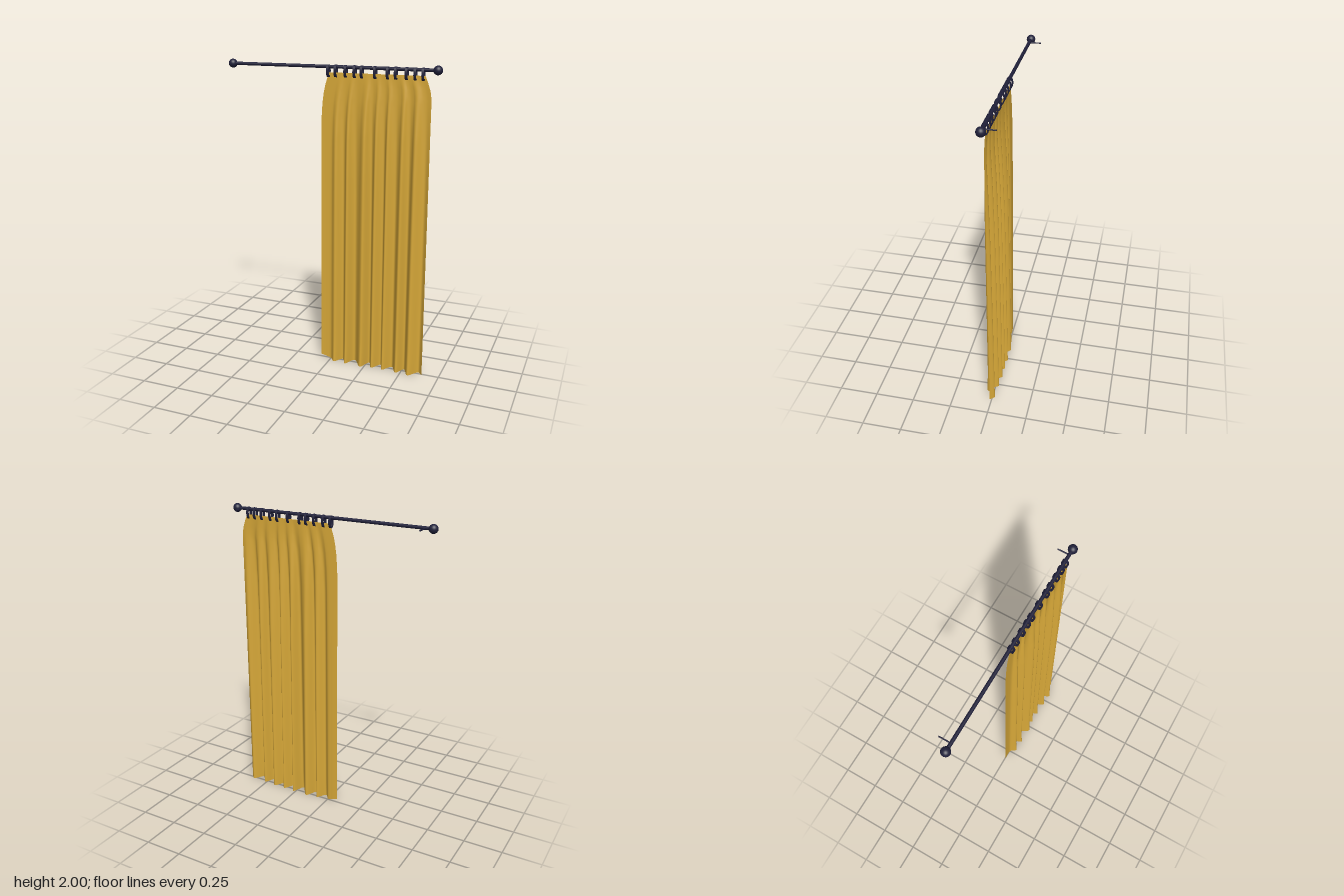
import * as THREE from 'three';

const fabric = new THREE.MeshStandardMaterial({ color: 0xd6a738, side: THREE.DoubleSide });
fabric.name = 'gold fabric';
const metal = new THREE.MeshStandardMaterial({ color: 0x20203a });
metal.name = 'dark metal';

const ROD_Y = 1.972, ROD_Z = 0.017, REST_Z = 0.012;

function add(parent, name, geometry, material, x = 0, y = 0, z = 0) {
  const mesh = new THREE.Mesh(geometry, material);
  mesh.name = name;
  mesh.position.set(x, y, z);
  parent.add(mesh);
  return mesh;
}

// Piecewise linear lookup in [key, value] pairs with rising keys
function lookup(pairs, k) {
  if (k <= pairs[0][0]) return pairs[0][1];
  for (let i = 1; i < pairs.length; i++) {
    const [a, va] = pairs[i - 1], [b, vb] = pairs[i];
    if (k <= b) return va + (vb - va) * (k - a) / (b - a);
  }
  return pairs[pairs.length - 1][1];
}

// Fold line at the hem: [x, z]
const FOLDS = [
  [-0.07, 0.006], [-0.03, 0.003], [0.0, 0.006], [0.035, 0.04], [0.08, -0.012], [0.115, 0.042],
  [0.16, -0.027], [0.225, 0.048], [0.265, -0.027], [0.3, 0.035], [0.345, -0.025], [0.375, 0.035],
  [0.425, -0.025], [0.47, 0.042], [0.51, -0.02], [0.553, 0.046], [0.61, -0.016], [0.64, 0.012],
];
// Side edges by height, and how far the folds have opened by height
const LEFT = [[0, -0.07], [1.5, -0.065], [1.65, -0.062], [1.75, -0.055], [1.82, -0.045], [1.87, -0.033], [1.937, -0.01]];
const RIGHT = [[0, 0.64], [1.8, 0.638], [1.85, 0.63], [1.9, 0.613], [1.937, 0.597]];
const FRONT_OPEN = [[0, 1.1], [0.15, 0.9], [1.3, 0.8], [1.55, 0.68], [1.75, 0.38], [1.937, 0]];
const BACK_OPEN = [[0, 1], [0.6, 0.85], [1.2, 0.65], [1.55, 0.4], [1.75, 0.18], [1.937, 0]];

function curtainGeometry() {
  const cols = 170, rows = 64;
  const curve = new THREE.CatmullRomCurve3(FOLDS.map(([x, z]) => new THREE.Vector3(x, 0, z)));
  const line = Array.from({ length: cols + 1 }, (_, i) => curve.getPoint(i / cols));
  const geo = new THREE.PlaneGeometry(1, 1, cols, rows);
  const pos = geo.attributes.position;
  for (let r = 0; r <= rows; r++) {
    const t = r / rows;
    const y0 = 1.937 - 1.932 * Math.pow(t, 1.4);
    const left = lookup(LEFT, y0), right = lookup(RIGHT, y0);
    for (let c = 0; c <= cols; c++) {
      const p = line[c];
      const u = (p.x + 0.07) / 0.71;
      const d = p.z - REST_Z;
      const z = REST_Z + d * lookup(d > 0 ? FRONT_OPEN : BACK_OPEN, y0);
      // The hem lifts slightly at its outer corner
      const lift = 0.02 * Math.max(0, 1 - u / 0.1) * Math.max(0, 1 - y0 / 0.2);
      pos.setXYZ(r * (cols + 1) + c, left + (right - left) * u, y0 + lift, z);
    }
  }
  geo.computeVertexNormals();
  return geo;
}

export function createModel() {
  const model = new THREE.Group();
  model.name = 'curtainOnRod';

  add(model, 'curtain', curtainGeometry(), fabric);

  // Rod with ball ends
  add(model, 'rod', new THREE.CylinderGeometry(0.0105, 0.0105, 1.31, 20), metal, 0, ROD_Y, ROD_Z)
    .rotation.z = Math.PI / 2;
  for (const side of [-1, 1])
    add(model, 'rodBall', new THREE.SphereGeometry(0.028, 24, 16), metal, side * 0.672, ROD_Y, ROD_Z);

  // Wall brackets behind the rod
  for (const x of [-0.62, 0.633])
    add(model, 'wallBracket', new THREE.CylinderGeometry(0.004, 0.004, 0.074, 10), metal, x, ROD_Y - 0.003, -0.02)
      .rotation.x = Math.PI / 2;

  // Oval rings joining the cloth to the rod
  const shape = new THREE.Shape().absellipse(0, 0, 0.021, 0.038, 0, Math.PI * 2);
  shape.holes.push(new THREE.Path().absellipse(0, 0, 0.014, 0.03, 0, Math.PI * 2, true));
  const ringGeo = new THREE.ExtrudeGeometry(shape, { depth: 0.015, bevelEnabled: false, curveSegments: 20 });
  ringGeo.translate(0, 0, -0.0075);
  ringGeo.rotateY(Math.PI / 2);
  for (const x of [-0.013, 0.036, 0.1, 0.158, 0.204, 0.288, 0.368, 0.418, 0.484, 0.537, 0.585])
    add(model, 'curtainRing', ringGeo, metal, x, 1.947, ROD_Z);

  return model;
}
